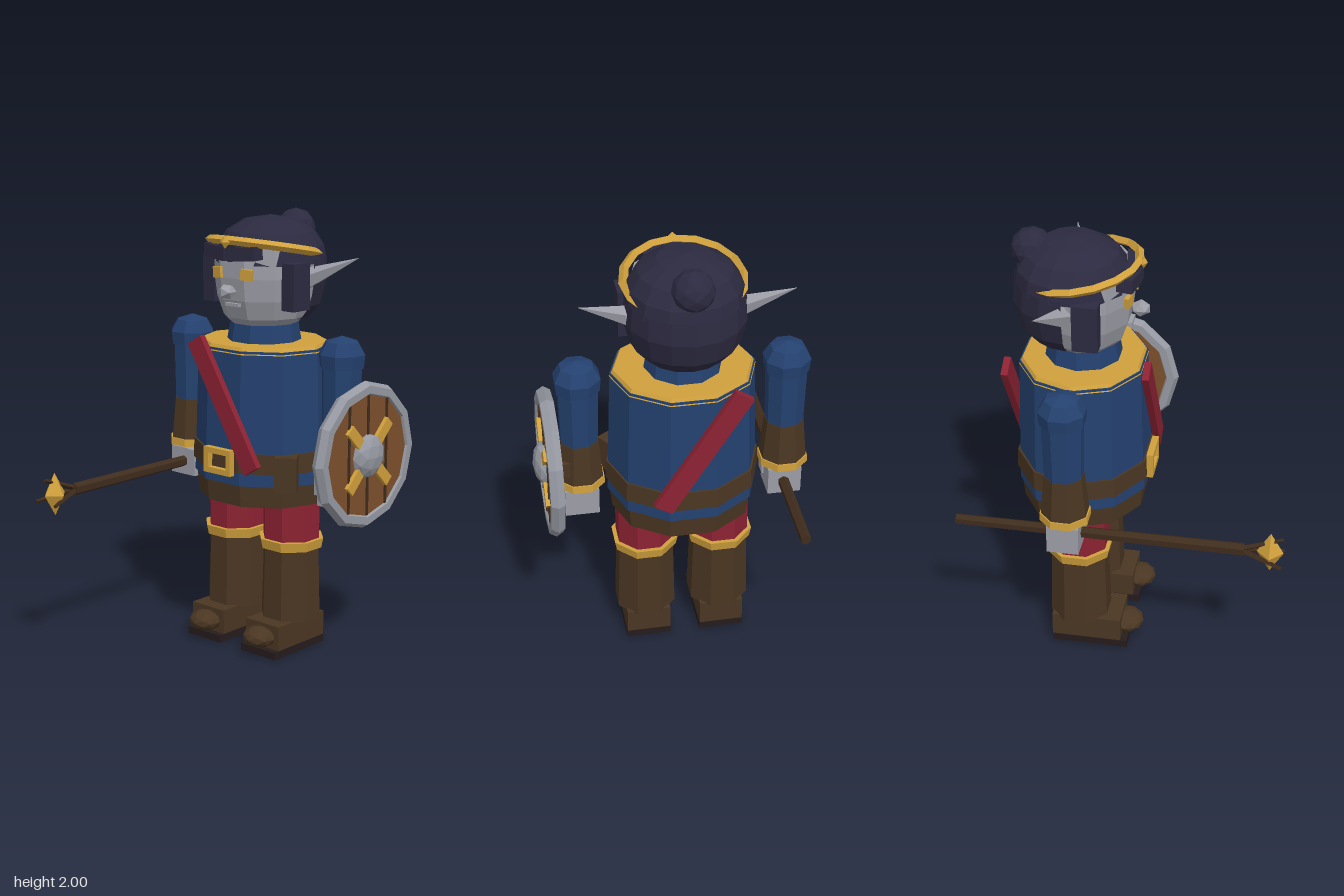
import * as THREE from 'three';

const mat = (name, color, side = THREE.FrontSide) => {
  const m = new THREE.MeshStandardMaterial({ color, flatShading: true, side });
  m.name = name;
  return m;
};

export function createModel() {
  const blue = mat('blue cloth', 0x24416f);
  const gold = mat('gold', 0xd0a03c);
  const leather = mat('brown leather', 0x4a3622);
  const wood = mat('shield wood', 0x7c4f2b);
  const skin = mat('grey skin', 0x9c9da6);
  const steel = mat('steel', 0x9699a2);
  const red = mat('red cloth', 0x8c2232);
  const hair = mat('dark hair', 0x2c2a40, THREE.DoubleSide);
  const sole = mat('sole', 0x261c1c);
  const shaft = mat('dark wood', 0x3f2c1c);

  const model = new THREE.Group();
  model.name = 'adventurer';
  const body = new THREE.Group();
  body.name = 'figure';
  body.position.set(-0.05, 0, -0.23);
  model.add(body);

  const add = (parent, name, geo, material, x = 0, y = 0, z = 0, rx = 0, ry = 0, rz = 0) => {
    const m = new THREE.Mesh(geo, material);
    m.name = name;
    m.position.set(x, y, z);
    m.rotation.set(rx, ry, rz);
    parent.add(m);
    return m;
  };
  const box = (w, h, d) => new THREE.BoxGeometry(w, h, d);
  // Upright prism between two heights with a flat side to the front
  const prism = (rTop, rBottom, y0, y1, n, sz = 1) =>
    new THREE.CylinderGeometry(rTop, rBottom, y1 - y0, n).rotateY(Math.PI / n).scale(1, 1, sz).translate(0, (y0 + y1) / 2, 0);
  const lathe = (pts, n, start = 0, length = Math.PI * 2) =>
    new THREE.LatheGeometry(pts.map(p => new THREE.Vector2(...p)), n, start, length);
  // Cone or rod running from point a to point b
  const rod = (a, b, rEnd, rStart, n) => {
    const p = new THREE.Vector3(...a), q = new THREE.Vector3(...b), d = q.clone().sub(p);
    const geo = new THREE.CylinderGeometry(rEnd, rStart, d.length(), n);
    geo.applyQuaternion(new THREE.Quaternion().setFromUnitVectors(new THREE.Vector3(0, 1, 0), d.normalize()));
    const c = p.add(q).multiplyScalar(0.5);
    return geo.translate(c.x, c.y, c.z);
  };

  // Torso and clothing
  add(body, 'tunic', prism(0.315, 0.335, 0.8, 1.41, 10, 0.89), blue);
  add(body, 'collar', prism(0.3, 0.318, 1.395, 1.425, 10, 0.89), gold);
  add(body, 'neck', prism(0.155, 0.17, 1.42, 1.51, 10), blue);
  add(body, 'skirt', prism(0.325, 0.315, 0.7, 0.8, 10, 0.89), leather);
  add(body, 'belt', prism(0.338, 0.342, 0.86, 0.95, 10, 0.9), leather);
  add(body, 'pouch', box(0.1, 0.16, 0.09), leather, 0.285, 0.87, 0.17, 0, 0.6);
  for (const s of [-1, 1]) {
    add(body, 'buckle bar', box(0.16, 0.026, 0.03), gold, 0, 0.905 + s * 0.046, 0.305);
    add(body, 'buckle side', box(0.026, 0.118, 0.03), gold, s * 0.067, 0.905, 0.305);
  }
  add(body, 'front sash', box(0.09, 0.65, 0.03), red, 0.028, 1.165, 0.3, 0, 0, 0.553);
  add(body, 'back sash', box(0.09, 0.65, 0.03), red, -0.035, 1.165, -0.3, 0, 0, 0.553);

  // Head
  add(body, 'head', lathe([[0, 1.47], [0.13, 1.48], [0.185, 1.535], [0.215, 1.62], [0.228, 1.72], [0.225, 1.86], [0, 1.87]], 10).rotateY(Math.PI / 10), skin);
  const nose = add(body, 'nose', new THREE.IcosahedronGeometry(0.042, 0), skin, 0, 1.665, 0.25);
  nose.scale.set(1, 0.85, 1.1);
  add(body, 'mouth', box(0.08, 0.014, 0.02), skin, 0, 1.603, 0.21);
  for (const s of [-1, 1]) {
    add(body, 'eye', box(0.056, 0.05, 0.02), gold, s * 0.085, 1.742, 0.214, 0, s * 0.2, s * -0.1);
    add(body, 'ear', rod([s * 0.19, 1.7, -0.035], [s * 0.455, 1.82, -0.115], 0, 0.055, 5), skin);
    add(body, 'side lock', box(0.07, 0.21, 0.11), hair, s * 0.238, 1.69, 0.06);
    add(body, 'fringe', box(0.14, 0.06, 0.07), hair, s * 0.075, 1.835, 0.215, 0, s * 0.15, s * 0.08);
  }
  add(body, 'fringe centre', box(0.1, 0.055, 0.06), hair, 0, 1.845, 0.22);

  // Hair, bun and headband
  add(body, 'hair cap', lathe([[0.255, 1.78], [0.242, 1.85], [0.2, 1.915], [0.12, 1.965], [0, 1.985]], 14), hair, 0, 0, -0.04);
  add(body, 'back hair', lathe([[0, 1.52], [0.18, 1.525], [0.235, 1.59], [0.262, 1.7], [0.255, 1.8]], 8, Math.PI / 2, Math.PI), hair, 0, 0, -0.04);
  add(body, 'bun', new THREE.IcosahedronGeometry(0.092, 1), hair, 0, 1.91, -0.215);
  add(body, 'headband', new THREE.TorusGeometry(0.25, 0.02, 4, 16).rotateX(Math.PI / 2), gold, 0, 1.845, 0, -0.19);
  const gem = add(body, 'headband gem', new THREE.OctahedronGeometry(0.03), gold, 0, 1.885, 0.262);
  gem.scale.z = 0.6;

  // Arms and legs
  for (const s of [-1, 1]) {
    const arm = new THREE.Group();
    arm.name = s > 0 ? 'leftArm' : 'rightArm';
    arm.position.x = s * 0.455;
    body.add(arm);
    add(arm, 'shoulder', lathe([[0, 1.345], [0.1, 1.35], [0.106, 1.41], [0.075, 1.465], [0, 1.49]], 8).rotateY(Math.PI / 8), blue);
    add(arm, 'sleeve', prism(0.092, 0.086, 1.08, 1.36, 8), blue);
    add(arm, 'glove cuff', prism(0.088, 0.108, 0.88, 1.09, 8), leather);
    add(arm, 'cuff trim', prism(0.112, 0.114, 0.865, 0.9, 8), gold);
    add(arm, 'hand', box(0.15, 0.13, 0.14), skin, 0, 0.785, 0);
    add(arm, 'thumb', box(0.05, 0.08, 0.06), skin, s * -0.06, 0.81, 0.05);

    const leg = new THREE.Group();
    leg.name = s > 0 ? 'leftLeg' : 'rightLeg';
    leg.position.x = s * 0.17;
    body.add(leg);
    add(leg, 'trouser', prism(0.135, 0.135, 0.48, 0.78, 8), red);
    add(leg, 'boot shaft', prism(0.132, 0.142, 0.14, 0.5, 8), leather);
    add(leg, 'boot trim', prism(0.155, 0.146, 0.48, 0.525, 8), gold);
    add(leg, 'foot', box(0.2, 0.115, 0.32), leather, 0, 0.092, 0.04);
    const toe = add(leg, 'toe', new THREE.IcosahedronGeometry(0.08, 1), leather, 0, 0.088, 0.215);
    toe.scale.set(1, 0.6, 1);
    add(leg, 'sole', box(0.205, 0.035, 0.35), sole, 0, 0.0175, 0.055);
  }

  // Staff held in the right hand, pointing forward
  const staff = new THREE.Group();
  staff.name = 'staff';
  staff.position.set(-0.5, 0.785, 0);
  model.add(staff);
  add(staff, 'staff shaft', rod([0, 0, -0.72], [0, 0, 0.55], 0.029, 0.024, 6), shaft);
  for (let i = 0; i < 3; i++) {
    const a = Math.PI / 2 + i * Math.PI * 2 / 3;
    add(staff, 'prong', rod([0, 0, 0.53], [Math.cos(a) * 0.072, Math.sin(a) * 0.072, 0.715], 0.009, 0.014, 4), shaft);
  }
  add(staff, 'staff crystal', new THREE.OctahedronGeometry(1).scale(0.058, 0.098, 0.058), gold, 0, 0, 0.66);

  // Shield on the left arm, facing +x
  const shield = new THREE.Group();
  shield.name = 'shield';
  shield.position.set(0.535, 0.975, -0.23);
  model.add(shield);
  add(shield, 'shield board', new THREE.CylinderGeometry(0.295, 0.295, 0.04, 12).rotateZ(-Math.PI / 2), wood);
  add(shield, 'shield rim', new THREE.TorusGeometry(0.297, 0.035, 6, 12).rotateY(Math.PI / 2).rotateX(Math.PI / 2), steel);
  for (const z of [-0.13, 0, 0.13])
    add(shield, 'plank seam', box(0.008, z ? 0.48 : 0.54, 0.012), shaft, 0.022, 0, z);
  for (let i = 0; i < 4; i++) {
    const a = Math.PI / 4 + i * Math.PI / 2;
    add(shield, 'shield strut', box(0.025, 0.12, 0.05), gold, 0.026, Math.cos(a) * 0.135, Math.sin(a) * 0.135, a);
  }
  const boss = add(shield, 'shield boss', new THREE.IcosahedronGeometry(0.1, 1), steel, 0.02);
  boss.scale.x = 0.55;
  add(shield, 'shield grip', box(0.07, 0.07, 0.16), leather, -0.045);

  return model;
}
